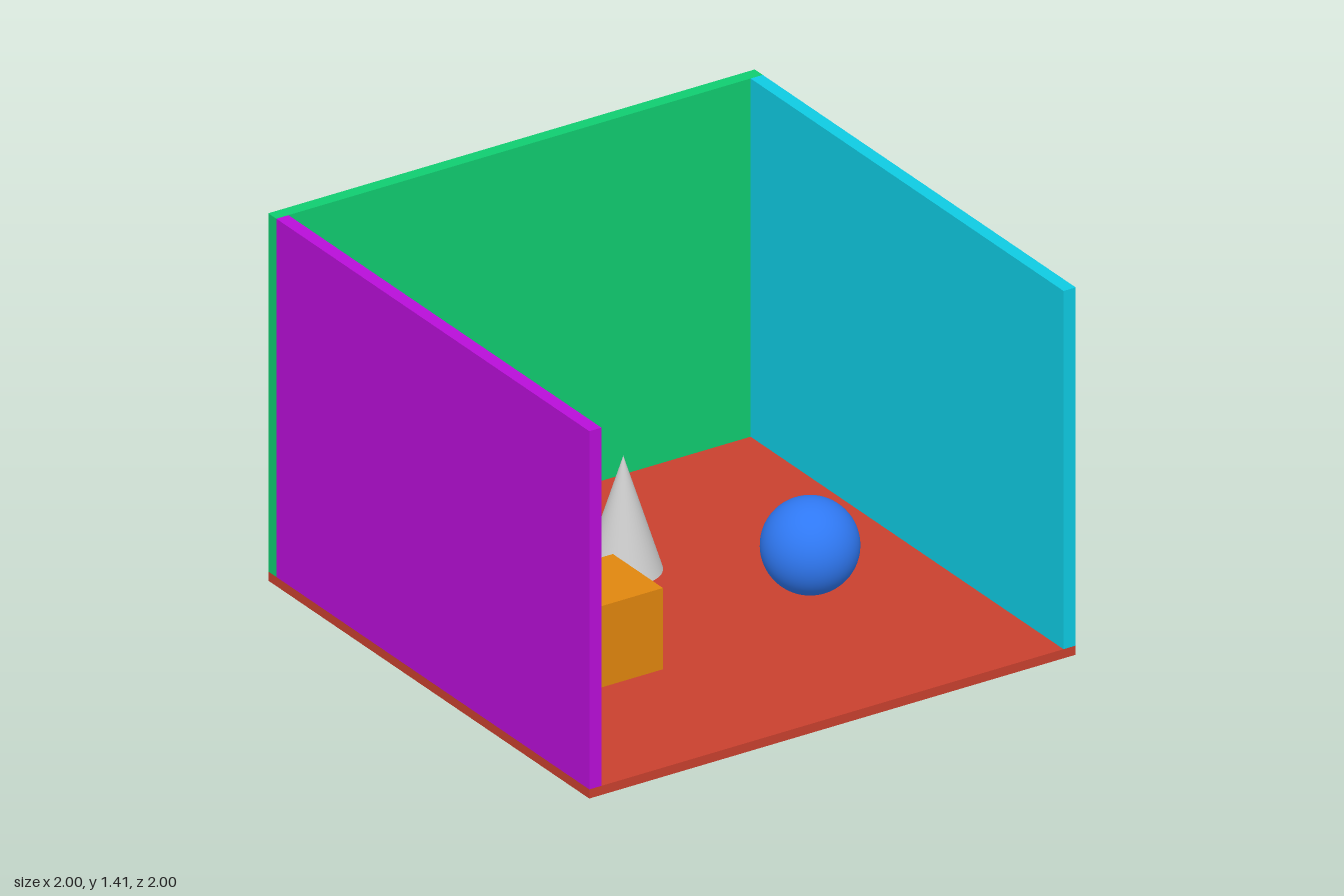
import * as THREE from 'three';

const FLOOR = 0.035, HEIGHT = 1.41, WALL = 0.05;

export function createModel() {
  const model = new THREE.Group();
  model.name = 'openRoom';

  function add(name, geometry, color, x, y, z) {
    const mesh = new THREE.Mesh(geometry, new THREE.MeshStandardMaterial({ color }));
    mesh.name = name;
    mesh.position.set(x, y, z);
    model.add(mesh);
  }

  // Floor slab
  add('floor', new THREE.BoxGeometry(2, FLOOR, 2), 0xc8402e, 0, FLOOR / 2, 0);

  // Back wall spans the full width; side walls butt against it
  const wallH = HEIGHT - FLOOR, wallY = FLOOR + wallH / 2;
  add('backWall', new THREE.BoxGeometry(2, wallH, WALL), 0x10cc70, 0, wallY, -1 + WALL / 2);
  for (const [name, side, color] of [['leftWall', 1, 0x0ecae2], ['rightWall', -1, 0xb80ed8]]) {
    add(name, new THREE.BoxGeometry(WALL, wallH, 2 - WALL), color, side * (1 - WALL / 2), wallY, WALL / 2);
  }

  // Solids standing on the floor
  const cube = 0.312, coneH = 0.435, ballR = 0.173;
  add('cube', new THREE.BoxGeometry(cube, cube, cube), 0xe0860e, -0.438, FLOOR + cube / 2, 0.215);
  add('cone', new THREE.ConeGeometry(0.137, coneH, 48), 0xcccccc, 0.028, FLOOR + coneH / 2, -0.346);
  add('ball', new THREE.SphereGeometry(ballR, 48, 32), 0x2f78f2, 0.466, 0.214, 0.154);

  return model;
}
